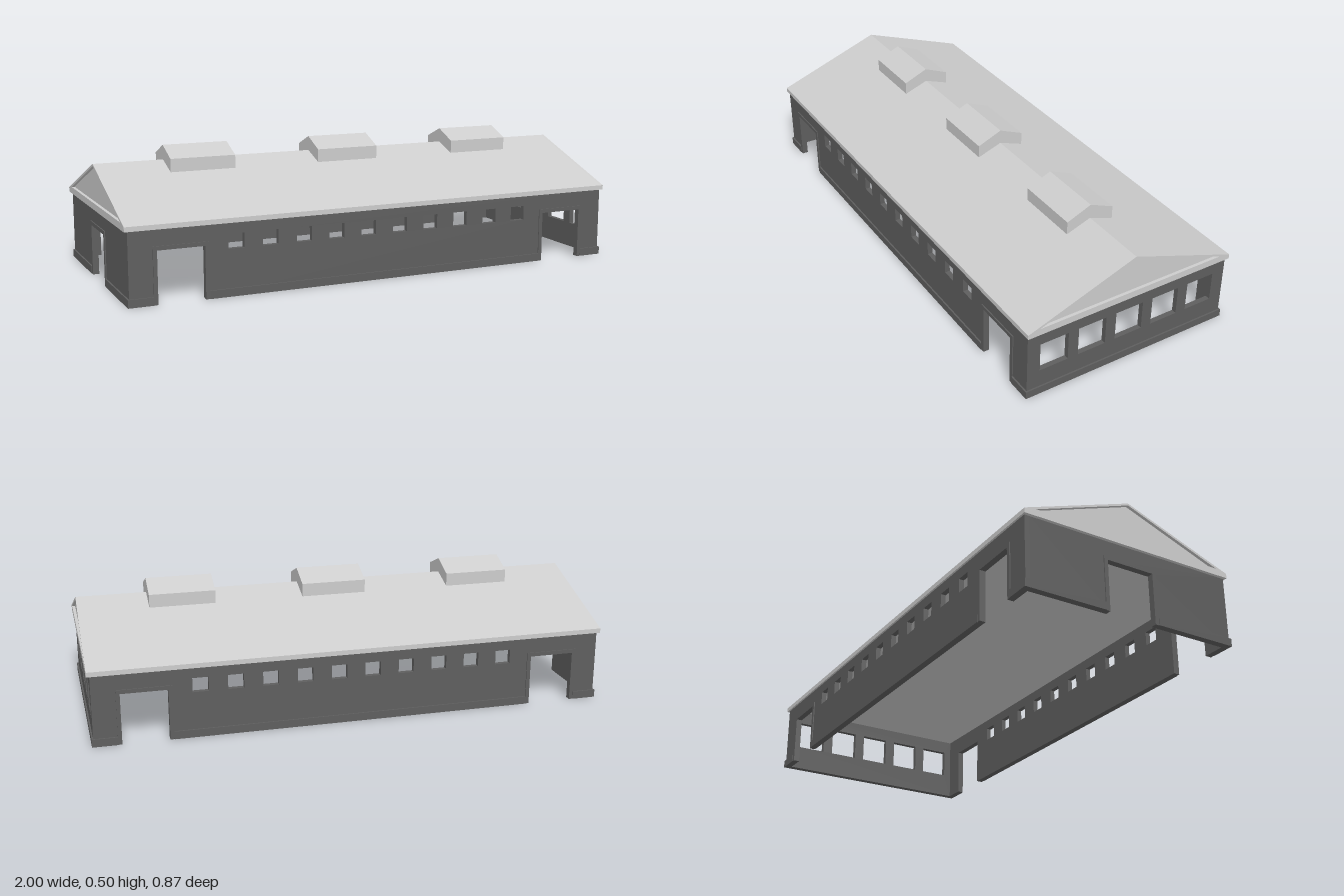
import * as THREE from 'three';

const DOOR_H = 0.195, WALL_H = 0.271, THICK = 0.02;
const HALF_X = 0.988, HALF_Z = 0.427;
const OUT = 0.006, TRIM = 0.015;

const polygon = (pts) => new THREE.Shape(pts.map(([x, y]) => new THREE.Vector2(x, y)));
const rect = (x0, x1, y0, y1) => polygon([[x0, y0], [x1, y0], [x1, y1], [x0, y1]]);

export function createModel() {
  const model = new THREE.Group();
  model.name = 'longBarn';

  const wallMat = new THREE.MeshStandardMaterial({ color: 0x5e5e5e });
  wallMat.name = 'dark grey walls';
  const roofMat = new THREE.MeshStandardMaterial({ color: 0xcccccc });
  roofMat.name = 'light grey roof';

  function add(parent, name, geometry, material) {
    const mesh = new THREE.Mesh(geometry, material);
    mesh.name = name;
    parent.add(mesh);
  }

  const extrude = (shape, depth, z = 0) =>
    new THREE.ExtrudeGeometry(shape, { depth, bevelEnabled: false }).translate(0, 0, z);

  // Wall with door notches and window holes; its outer face lies at local z = 0
  function addWall(name, half, plinthHalf, doors, windows, x, z, turn) {
    const wall = new THREE.Group();
    wall.name = name;
    const outline = [[-half, 0]];
    for (const [a, b] of doors) outline.push([a, 0], [a, DOOR_H], [b, DOOR_H], [b, 0]);
    outline.push([half, 0], [half, WALL_H], [-half, WALL_H]);
    const shape = polygon(outline);
    for (const w of windows) shape.holes.push(rect(...w));
    add(wall, 'wallPanel', extrude(shape, THICK, -THICK), wallMat);

    // Plinth strips between the door frames
    const stops = [-plinthHalf, ...doors.flatMap(([a, b]) => [a - TRIM, b + TRIM]), plinthHalf];
    for (let i = 0; i < stops.length; i += 2) {
      add(wall, 'plinth', extrude(rect(stops[i], stops[i + 1], 0, 0.03), OUT), wallMat);
    }

    // Raised frame around each door
    for (const [a, b] of doors) {
      const top = DOOR_H + TRIM;
      const frame = polygon([[a - TRIM, 0], [a, 0], [a, DOOR_H], [b, DOOR_H],
        [b, 0], [b + TRIM, 0], [b + TRIM, top], [a - TRIM, top]]);
      add(wall, 'doorFrame', extrude(frame, 0.004), wallMat);
    }
    wall.position.set(x, 0, z);
    wall.rotation.y = turn;
    model.add(wall);
  }

  // Long walls: two doors and ten small windows each
  const sideDoors = [[-0.885, -0.71], [0.71, 0.885]];
  const sideWindows = [];
  for (let i = 0; i < 10; i++) {
    const c = (i - 4.5) * 0.1315;
    sideWindows.push([c - 0.03, c + 0.03, 0.175, 0.23]);
  }
  addWall('frontWall', HALF_X, HALF_X + OUT, sideDoors, sideWindows, 0, HALF_Z, 0);
  addWall('backWall', HALF_X, HALF_X + OUT, sideDoors, sideWindows, 0, -HALF_Z, Math.PI);

  // End walls: five windows on one, a door on the other
  const endWindows = [];
  for (let i = -2; i <= 2; i++) {
    const c = i * 0.1585;
    endWindows.push([c - 0.058, c + 0.058, 0.1, 0.215]);
  }
  const endHalf = HALF_Z - THICK;
  addWall('windowEndWall', endHalf, HALF_Z, [], endWindows, HALF_X, 0, Math.PI / 2);
  addWall('doorEndWall', endHalf, HALF_Z, [[-0.095, 0.095]], [], -HALF_X, 0, -Math.PI / 2);

  // Extrude a gable section along x, from x0 to x1
  const alongX = (shape, x0, x1) => extrude(shape, x1 - x0, x0).rotateY(Math.PI / 2);
  const gable = () => polygon([[-0.434, 0.27], [0.434, 0.27], [0.434, 0.288], [0, 0.445], [-0.434, 0.288]]);

  // Main roof, whose flat underside is the ceiling, with recessed gable panels
  add(model, 'roof', alongX(gable(), -HALF_X, HALF_X), roofMat);
  const edge = gable();
  edge.holes.push(polygon([[-0.387, 0.296], [0.387, 0.296], [0, 0.437]]));
  add(model, 'gableEdge', alongX(edge, HALF_X, 1), roofMat);
  add(model, 'gableEdge', alongX(edge, -1, -HALF_X), roofMat);

  // Ridge vents
  const vent = polygon([[-0.098, 0.4], [0.098, 0.4], [0.098, 0.46], [0, 0.501], [-0.098, 0.46]]);
  for (const x of [-0.602, 0, 0.602]) {
    add(model, 'ridgeVent', alongX(vent, x - 0.128, x + 0.128), roofMat);
  }

  return model;
}
